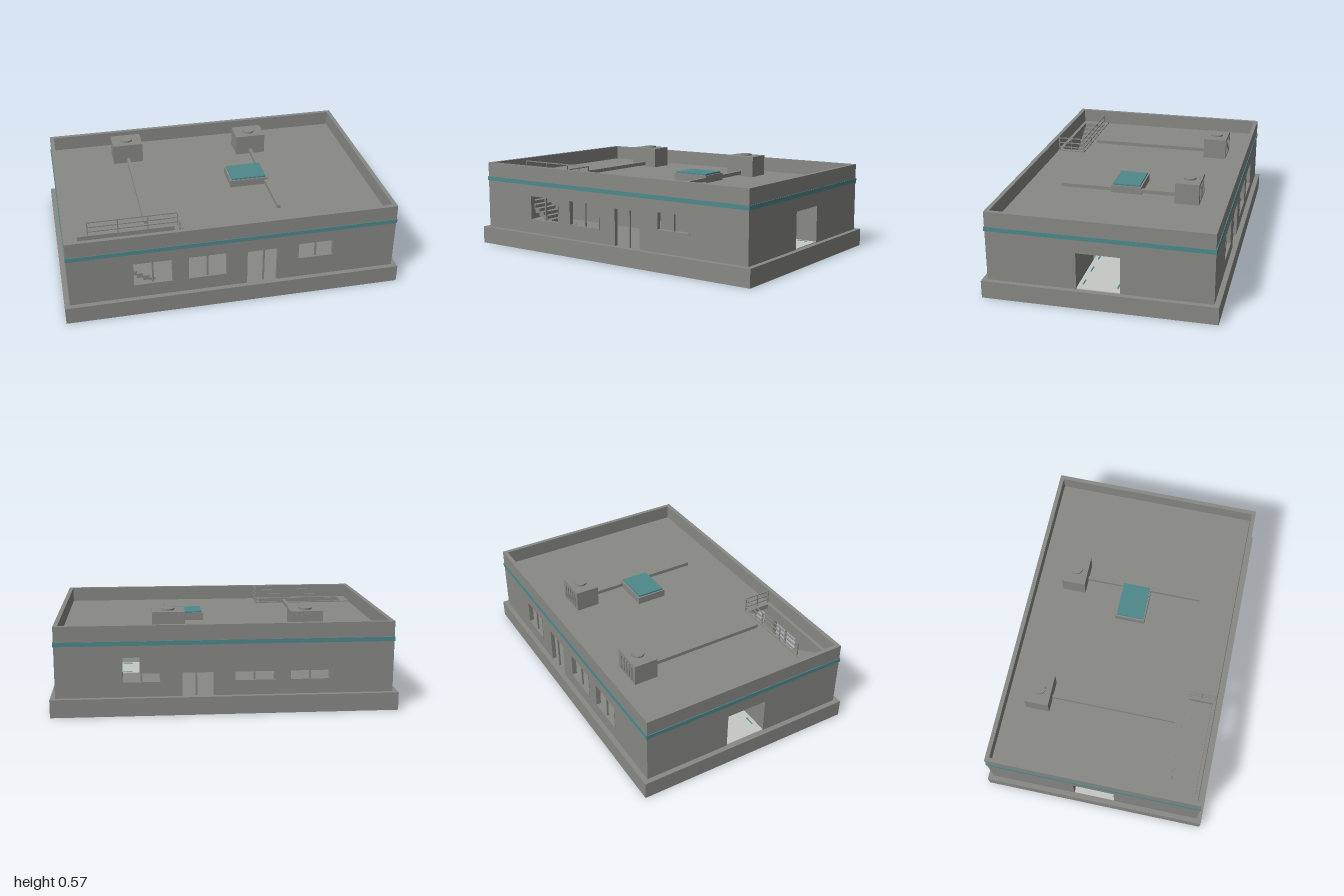
import * as THREE from 'three';

const concrete = new THREE.MeshStandardMaterial({ color: 0x888885 });
concrete.name = 'concrete grey';
const teal = new THREE.MeshStandardMaterial({ color: 0x4f888c });
teal.name = 'teal trim';
const pale = new THREE.MeshStandardMaterial({ color: 0xc6c8c6 });
pale.name = 'pale floor';

function add(parent, name, geometry, material = concrete) {
  const mesh = new THREE.Mesh(geometry, material);
  mesh.name = name;
  parent.add(mesh);
  return mesh;
}

// Box given by its limits on each axis
function box(parent, name, x0, x1, y0, y1, z0, z1, material) {
  const mesh = add(parent, name, new THREE.BoxGeometry(x1 - x0, y1 - y0, z1 - z0), material);
  mesh.position.set((x0 + x1) / 2, (y0 + y1) / 2, (z0 + z1) / 2);
  return mesh;
}

function outline(Type, x0, x1, y0, y1) {
  return new Type([[x0, y0], [x1, y0], [x1, y1], [x0, y1]].map(([x, y]) => new THREE.Vector2(x, y)));
}

// Flat panel with rectangular openings, extruded along +z
function panel(rect, openings, depth) {
  const shape = outline(THREE.Shape, ...rect);
  shape.holes = openings.map((o) => outline(THREE.Path, ...o));
  return new THREE.ExtrudeGeometry(shape, { depth, bevelEnabled: false });
}

const X = 0.97, Z = 0.645, T = 0.025; // wall extents and thickness
const BASE = 0.105, ROOF = 0.43, TOP = 0.52;
const DOOR = [0.07, 0.25, 0.1, 0.325];

// Long wall with its windows, sills, frames and door; side is +1 front, -1 back
function longWall(side, windows) {
  const g = new THREE.Group();
  g.name = side > 0 ? 'frontWall' : 'backWall';
  const inner = side > 0 ? Z - T : -Z;
  add(g, 'wall', panel([-X, X, 0.095, TOP], [...windows, DOOR], T)).position.z = inner;
  const mid = side * (Z - T / 2);
  for (const [x0, x1, y0, y1] of windows) {
    const c = (x0 + x1) / 2;
    box(g, 'windowMullion', c - 0.005, c + 0.005, y0, y1, mid - 0.005, mid + 0.005);
    box(g, 'windowSill', x0 - 0.004, x1 + 0.004, y0 - 0.006, y0 + 0.002, mid - 0.016, mid + 0.016);
    for (const x of [x0, x1]) box(g, 'windowJamb', x - 0.003, x + 0.003, y0, y1, mid - 0.014, mid + 0.014);
  }
  box(g, 'doorPost', 0.165, 0.175, BASE, 0.325, mid - 0.005, mid + 0.005);
  return g;
}

// Rooftop cooling unit with fan, pipe and rear louvres
function coolingUnit(x, z) {
  const g = new THREE.Group();
  g.name = 'coolingUnit';
  box(g, 'unitBody', x - 0.095, x + 0.095, ROOF, 0.557, z - 0.072, z + 0.072);
  const fan = add(g, 'fanCover', new THREE.CylinderGeometry(0.037, 0.037, 0.011, 24));
  fan.position.set(x, 0.562, z);
  for (let i = 0; i < 5; i++) {
    const lx = x - 0.06 + i * 0.03;
    box(g, 'louvre', lx - 0.005, lx + 0.005, 0.45, 0.54, z - 0.077, z - 0.07);
  }
  box(g, 'ductPipe', x - 0.01, x + 0.01, 0.44, 0.462, z + 0.07, 0.4);
  return g;
}

function createModel() {
  const model = new THREE.Group();
  model.name = 'building';

  // Plinth and outer walls
  box(model, 'plinth', -1, 1, 0, BASE, -0.675, 0.675);
  const tall = [[-0.6, -0.37, 0.19, 0.335], [-0.28, -0.05, 0.19, 0.335]];
  model.add(longWall(1, [...tall, [0.375, 0.59, 0.235, 0.335]]));
  model.add(longWall(-1, [...tall, [0.375, 0.59, 0.19, 0.335]]));
  for (const side of [-1, 1]) {
    const wall = add(model, side > 0 ? 'leftWall' : 'rightWall',
      panel([-Z + T, Z - T, 0.095, TOP], [[-0.125, 0.125, 0.1, 0.325]], T));
    wall.rotation.y = Math.PI / 2;
    wall.position.x = side > 0 ? X - T : -X;
  }

  // Teal band around the walls
  for (const side of [-1, 1]) {
    box(model, 'bandLong', -X - 0.004, X + 0.004, 0.405, 0.43, side * Z - 0.004, side * Z + 0.004, teal);
    box(model, 'bandShort', side * X - 0.004, side * X + 0.004, 0.405, 0.43, -Z, Z, teal);
  }

  // Roof deck with stair opening
  const deck = add(model, 'roofDeck',
    panel([-X + T, X - T, -Z + T, Z - T], [[-0.89, -0.325, -0.6, -0.455]], 0.025));
  deck.rotation.x = -Math.PI / 2;
  deck.position.y = ROOF - 0.025;

  // Inner corridor walls with doorways, and the corridor floor
  for (const side of [-1, 1]) {
    const inner = add(model, 'corridorWall',
      panel([-X + T, X - T, 0.095, 0.405], [[-0.06, 0.03, 0.1, 0.295], [0.495, 0.61, 0.1, 0.295]], 0.015));
    inner.position.z = side > 0 ? 0.127 : -0.142;
    for (let i = 0; i < 12; i++) {
      const x = -0.9 + i * 0.16;
      box(model, 'floorMark', x, x + 0.06, 0.109, 0.112, side * 0.1 - 0.004, side * 0.1 + 0.004, teal);
    }
  }
  box(model, 'corridorFloor', -X + 0.002, X - 0.002, BASE, 0.11, -0.126, 0.126, pale);

  // Stairs going down from the roof
  const stairs = new THREE.Group();
  stairs.name = 'stairs';
  for (let i = 0; i < 16; i++) {
    const x = -0.89 + i * 0.0353, y = 0.41 - i * 0.0195;
    box(stairs, 'step', x, x + 0.0353, y - 0.03, y, 0.456, 0.6);
  }
  model.add(stairs);

  // Low kerb and guard rail around the stair opening
  add(model, 'stairKerb', panel([-0.945, -0.3, -0.62, -0.44], [[-0.89, -0.325, -0.6, -0.455]], 0.006))
    .rotation.x = -Math.PI / 2;
  model.getObjectByName('stairKerb').position.y = ROOF;
  const rail = new THREE.Group();
  rail.name = 'guardRail';
  for (const y of [0.458, 0.488, 0.52]) {
    box(rail, 'railLong', -0.83, -0.3, y - 0.003, y + 0.003, 0.442, 0.448);
    box(rail, 'railEnd', -0.306, -0.3, y - 0.003, y + 0.003, 0.442, 0.615);
  }
  for (const x of [-0.827, -0.652, -0.477, -0.303]) box(rail, 'post', x - 0.003, x + 0.003, ROOF, 0.523, 0.442, 0.448);
  for (const z of [0.53, 0.612]) box(rail, 'post', -0.306, -0.3, ROOF, 0.523, z - 0.003, z + 0.003);
  model.add(rail);

  // Skylight and cooling units
  box(model, 'skylightCurb', 0.095, 0.33, ROOF, 0.475, -0.095, 0.09);
  box(model, 'skylightPane', 0.105, 0.32, 0.475, 0.484, -0.086, 0.081, teal);
  model.add(coolingUnit(-0.485, -0.427), coolingUnit(0.32, -0.387));
  return model;
}

export { createModel };
